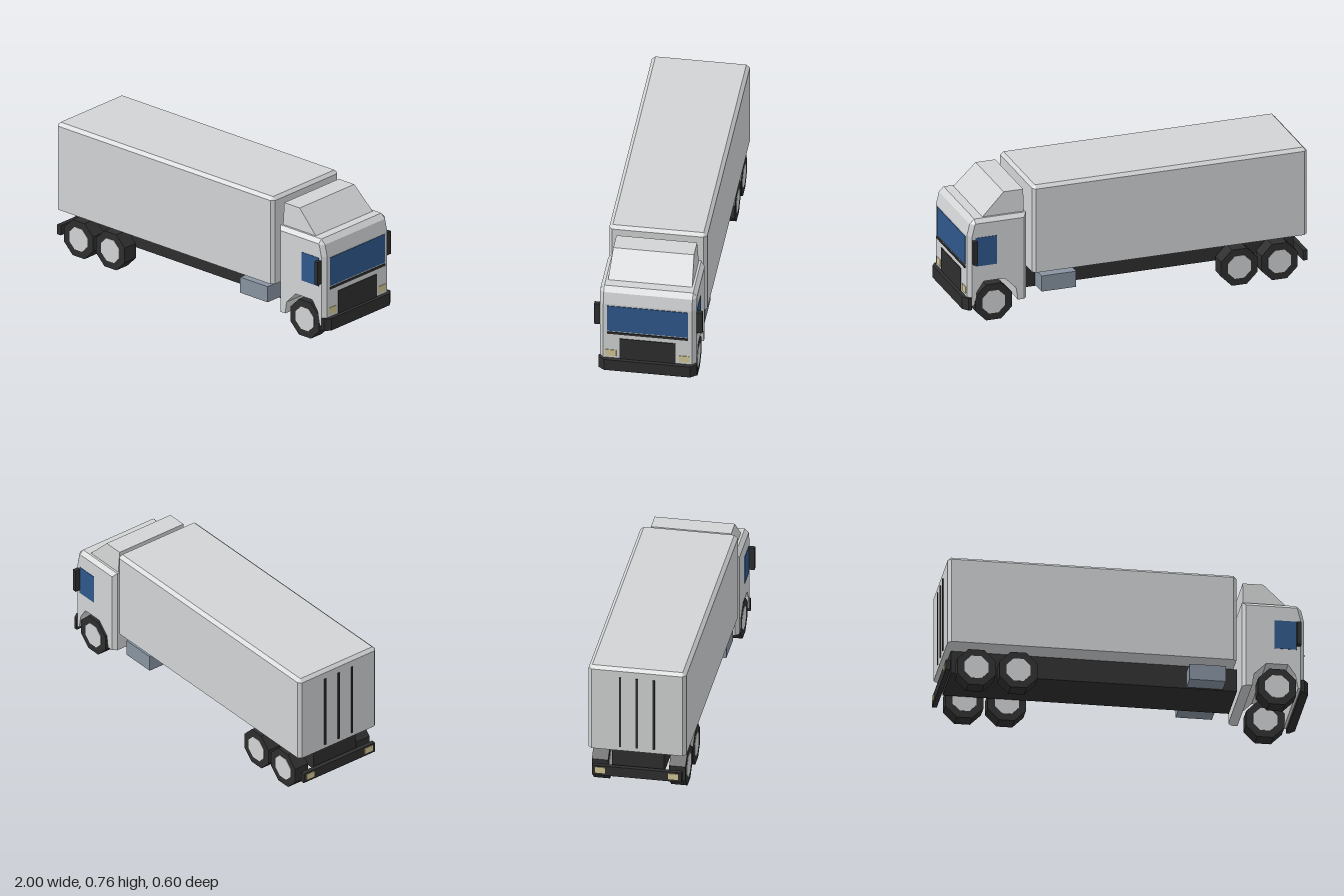
import * as THREE from 'three';
import { ConvexGeometry } from 'three/addons/geometries/ConvexGeometry.js';

const mat = (name, color) => {
  const m = new THREE.MeshStandardMaterial({ color });
  m.name = name;
  return m;
};

export function createModel() {
  const truck = new THREE.Group();
  truck.name = 'boxTruck';
  const body = mat('body grey', 0xd1d3d4);
  const dark = mat('dark trim', 0x2e2e2e);
  const glass = mat('blue glass', 0x2f578b);
  const lamp = mat('lamp cream', 0xd2c793);
  const steel = mat('tank slate', 0x8793a0);

  const add = (name, geometry, material) => {
    const mesh = new THREE.Mesh(geometry, material);
    mesh.name = name;
    truck.add(mesh);
    return mesh;
  };
  // box given by its limits on each axis
  const box = (name, material, x0, x1, y0, y1, z0, z1) => {
    const g = new THREE.BoxGeometry(x1 - x0, y1 - y0, z1 - z0);
    g.translate((x0 + x1) / 2, (y0 + y1) / 2, (z0 + z1) / 2);
    return add(name, g, material);
  };
  // the same box on both sides of the truck
  const pair = (name, material, x0, x1, y0, y1, z0, z1) => {
    box(name + 'Left', material, x0, x1, y0, y1, z0, z1);
    box(name + 'Right', material, x0, x1, y0, y1, -z1, -z0);
  };
  // convex solid from half its points, mirrored in z
  const hull = (name, material, pts) => add(name, new ConvexGeometry(
    pts.flatMap(([x, y, z]) => [new THREE.Vector3(x, y, z), new THREE.Vector3(x, y, -z)])), material);

  // cargo box with bevelled corners and roof edges
  const c = 0.018;
  const cargo = [];
  for (const y of [0.245, 0.738]) {
    cargo.push([-0.987, y, 0.27 - c], [-0.987 + c, y, 0.27], [0.602 - c, y, 0.27], [0.602, y, 0.27 - c]);
  }
  cargo.push([-0.987 + c, 0.756, 0.25], [0.602 - c, 0.756, 0.25]);
  hull('cargoBox', body, cargo);
  [-0.093, 0, 0.093].forEach((z, i) =>
    box('doorBar' + (i + 1), dark, -0.993, -0.985, 0.27, 0.7, z - 0.006, z + 0.006));

  // chassis, side tanks and rear bumper
  box('chassis', dark, -0.953, 0.622, 0.113, 0.246, -0.145, 0.145);
  pair('sideTank', steel, 0.345, 0.545, 0.12, 0.212, 0.14, 0.25);
  box('rearBumper', dark, -0.996, -0.97, 0.085, 0.143, -0.248, 0.248);
  pair('rearLamp', lamp, -1, -0.994, 0.1, 0.135, 0.175, 0.23);

  // cab: side profile with wheel arch, stretched across and narrowed at the sides
  const profile = [[0.634, 0.1], [0.688, 0.1], [0.698, 0.17], [0.765, 0.237], [0.885, 0.237],
    [0.925, 0.18], [0.94, 0.1], [0.976, 0.1], [0.976, 0.508], [0.96, 0.575], [0.933, 0.602], [0.634, 0.602]];
  const cab = new THREE.ExtrudeGeometry(new THREE.Shape(profile.map(p => new THREE.Vector2(...p))),
    { depth: 3, steps: 3, bevelEnabled: false });
  const levels = [-0.266, -0.244, 0.244, 0.266];
  const pos = cab.attributes.position;
  for (let i = 0; i < pos.count; i++) {
    let x = pos.getX(i), y = pos.getY(i);
    const k = Math.round(pos.getZ(i));
    if (k === 0 || k === 3) {
      if (x < 0.64) x += 0.02;
      if (x > 0.95) x -= 0.023;
      if (y > 0.59) y -= 0.022;
    }
    pos.setXYZ(i, x, y, levels[k]);
  }
  cab.computeVertexNormals();
  add('cab', cab, body);

  // roof wind deflector
  hull('roofDeflector', body, [[0.642, 0.595, 0.232], [0.888, 0.595, 0.232],
    [0.642, 0.728, 0.222], [0.755, 0.728, 0.222]]);

  // cab details
  box('windscreen', glass, 0.973, 0.979, 0.33, 0.497, -0.223, 0.223);
  box('windscreenStrip', dark, 0.973, 0.981, 0.31, 0.323, -0.223, 0.223);
  box('grille', dark, 0.973, 0.98, 0.14, 0.282, -0.155, 0.155);
  pair('headlamp', lamp, 0.973, 0.979, 0.162, 0.202, 0.172, 0.231);
  pair('sideWindow', glass, 0.81, 0.935, 0.33, 0.498, 0.262, 0.268);
  pair('mirror', dark, 0.93, 0.954, 0.35, 0.485, 0.262, 0.298);
  hull('frontBumper', dark, [0.078, 0.148].flatMap(y =>
    [[0.955, y, 0.271], [0.975, y, 0.271], [1, y, 0.237], [0.955, y, 0.237]]));

  // octagonal wheels with hubs showing on both faces
  const octagon = (apothem, width) => {
    const r = apothem / Math.cos(Math.PI / 8);
    const g = new THREE.CylinderGeometry(r, r, width, 8).toNonIndexed();
    g.rotateY(Math.PI / 8).rotateX(Math.PI / 2);
    g.computeVertexNormals();
    return g;
  };
  const tyre = octagon(0.105, 0.09), hub = octagon(0.066, 0.094);
  for (const [name, x] of [['rear', -0.83], ['middle', -0.597], ['front', 0.826]]) {
    for (const [side, s] of [['Left', 1], ['Right', -1]]) {
      add(name + 'Tyre' + side, tyre, dark).position.set(x, 0.105, s * 0.214);
      add(name + 'Hub' + side, hub, body).position.set(x, 0.105, s * 0.214);
    }
  }
  return truck;
}
